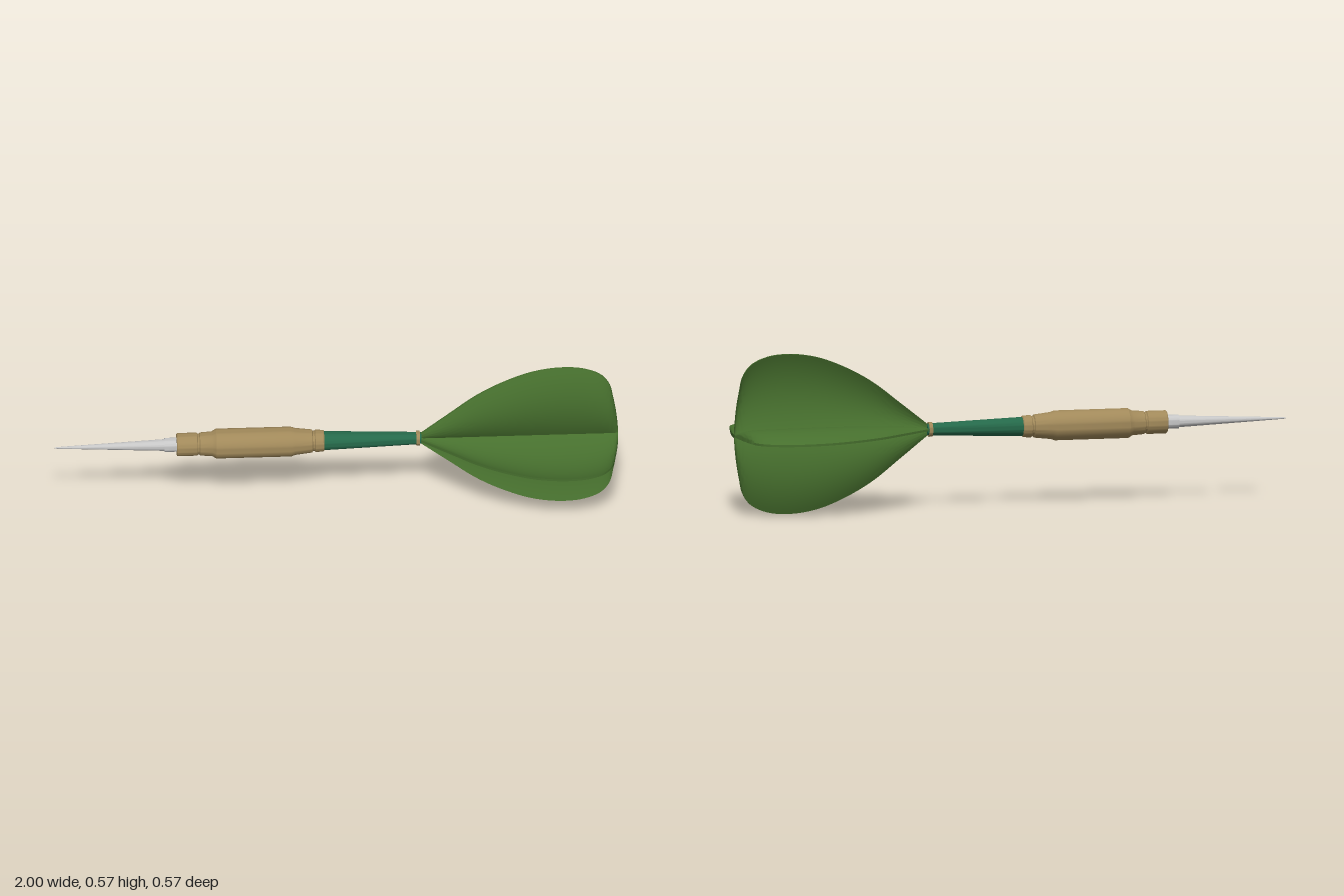
import * as THREE from 'three';
import { toCreasedNormals } from 'three/addons/utils/BufferGeometryUtils.js';

const AXIS_Y = 0.29;

// Turned part around the x axis; profile is [x, radius] pairs from nose to tail
function turned(name, profile, material) {
  const points = profile.map(([x, r]) => new THREE.Vector2(r, x));
  const geometry = new THREE.LatheGeometry(points, 40).rotateZ(-Math.PI / 2);
  const mesh = new THREE.Mesh(toCreasedNormals(geometry, 0.5), material);
  mesh.name = name;
  return mesh;
}

// One thin cupped fin in the xy plane, bowed toward +z, its border staying flat
function finGeometry() {
  const nu = 48, nv = 18, half = 0.004;
  const outline = new THREE.CatmullRomCurve3([
    [0.29, 0.012], [0.4, 0.1], [0.5, 0.178], [0.6, 0.234], [0.7, 0.272], [0.8, 0.286],
    [0.88, 0.278], [0.94, 0.25], [0.97, 0.208], [0.983, 0.15],
  ].map(([x, y]) => new THREE.Vector3(x, y, 0)));
  const position = [], index = [];
  const row = nv + 1, layer = (nu + 1) * row;

  for (const side of [1, -1]) {
    for (let i = 0; i <= nu; i++) {
      const s = 1 - Math.pow(1 - i / nu, 1.5);
      const edge = outline.getPointAt(s);
      const rootX = 0.29 + 0.71 * s;
      const rise = Math.pow(Math.sin(Math.PI / 2 * Math.min(1, s / 0.65)), 0.8);
      const depth = 0.034 * rise * Math.sqrt(1 - Math.pow(s, 10));
      for (let j = 0; j <= nv; j++) {
        const v = j / nv, hump = 4 * v * (1 - v);
        position.push(
          rootX + (edge.x - rootX) * v + 0.003 * hump * s,
          edge.y * v,
          depth * hump + side * half
        );
      }
    }
  }
  // front and back sheets
  for (let i = 0; i < nu; i++) {
    for (let j = 0; j < nv; j++) {
      const a = i * row + j, b = a + row, c = b + 1, d = a + 1;
      index.push(a, b, c, a, c, d);
      index.push(a + layer, c + layer, b + layer, a + layer, d + layer, c + layer);
    }
  }
  // rim joining the two sheets
  const rim = (a, b) => index.push(a, a + layer, b + layer, a, b + layer, b);
  for (let i = 0; i < nu; i++) {
    rim(i * row, (i + 1) * row);
    rim((i + 1) * row + nv, i * row + nv);
  }
  for (let j = 0; j < nv; j++) {
    rim(nu * row + j, nu * row + j + 1);
    rim(j + 1, j);
  }
  const geometry = new THREE.BufferGeometry();
  geometry.setAttribute('position', new THREE.Float32BufferAttribute(position, 3));
  geometry.setIndex(index);
  return toCreasedNormals(geometry, 0.7);
}

export function createModel() {
  const paint = (name, color) => {
    const material = new THREE.MeshStandardMaterial({ color });
    material.name = name;
    return material;
  };
  const steel = paint('steel', 0xc6c6c6);
  const brass = paint('brass', 0xa1895a);
  const shaftGreen = paint('shaftGreen', 0x25694a);
  const finGreen = paint('finGreen', 0x47702e);
  finGreen.side = THREE.DoubleSide;

  const model = new THREE.Group();
  model.name = 'dart';

  // Needle and its seat
  model.add(turned('point', [[-1, 0], [-0.99, 0.003], [-0.605, 0.021], [-0.605, 0]], steel));
  model.add(turned('pointSeat', [[-0.608, 0], [-0.608, 0.025], [-0.56, 0.025]], steel));

  // Stepped barrel with shallow grooves
  model.add(turned('barrel', [
    [-0.565, 0], [-0.565, 0.038], [-0.562, 0.041], [-0.493, 0.041], [-0.49, 0.037],
    [-0.485, 0.037], [-0.482, 0.041], [-0.44, 0.044], [-0.425, 0.053], [-0.16, 0.053],
    [-0.145, 0.048], [-0.085, 0.041], [-0.082, 0.036], [-0.076, 0.036], [-0.073, 0.04],
    [-0.045, 0.038], [-0.042, 0.035], [-0.04, 0],
  ], brass));

  // Tapered shaft and the collar that grips the fins
  model.add(turned('shaft', [[-0.045, 0.034], [0.285, 0.022], [0.302, 0.02], [0.302, 0]], shaftGreen));
  model.add(turned('collar', [[0.284, 0.02], [0.284, 0.026], [0.297, 0.026], [0.297, 0.018]], brass));

  // Four fins, each a quarter turn on
  const fin = finGeometry();
  for (let k = 0; k < 4; k++) {
    const mesh = new THREE.Mesh(fin, finGreen);
    mesh.name = 'fin' + (k + 1);
    mesh.rotation.x = k * Math.PI / 2;
    model.add(mesh);
  }

  for (const part of model.children) part.position.y = AXIS_Y;
  return model;
}
